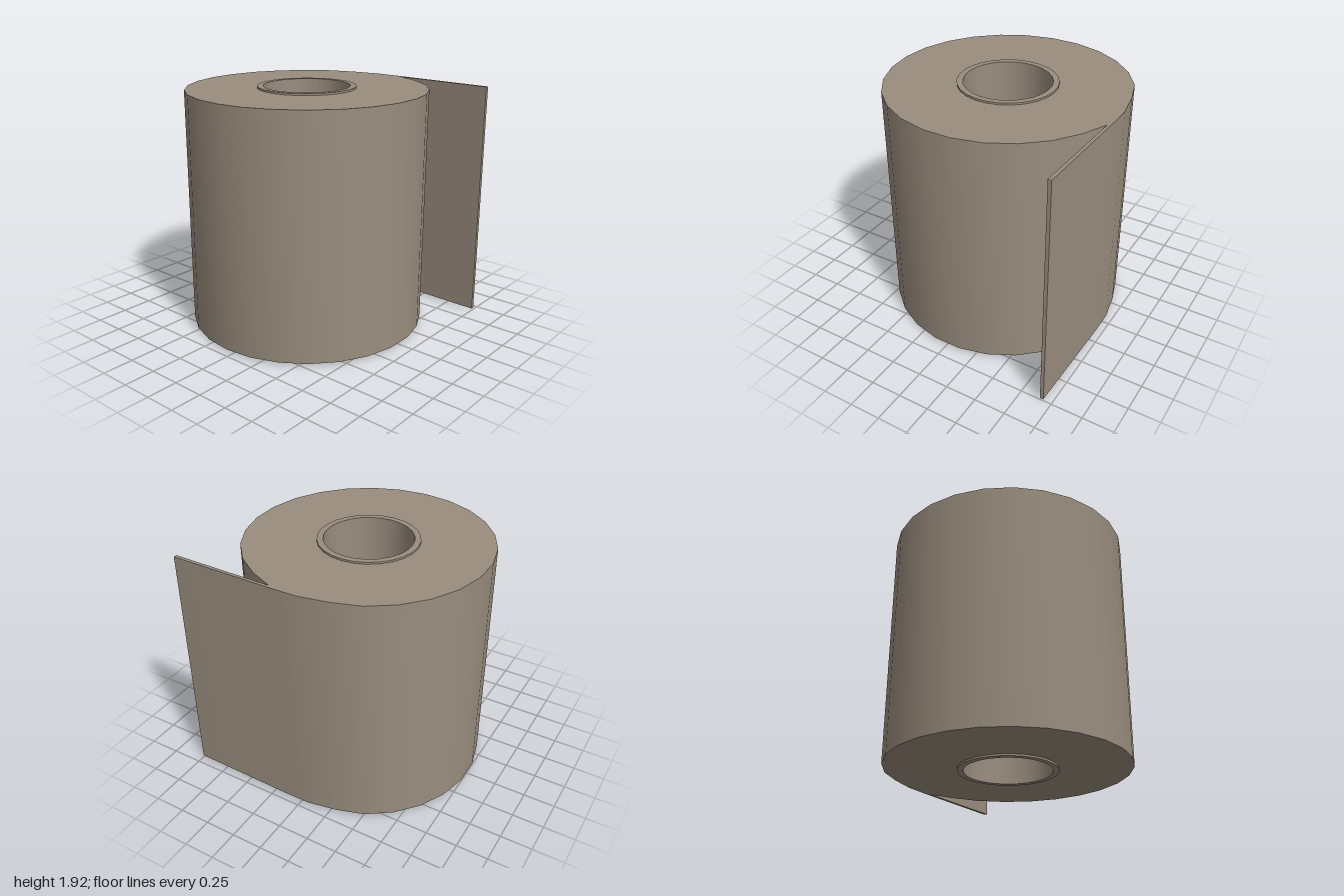
import * as THREE from 'three';
import { toCreasedNormals } from 'three/addons/utils/BufferGeometryUtils.js';

const SIDES = 26;
const CENTER_X = -0.062;

// Points on a circle in plan; index 0 lies at the back (-z), running towards +x
function ring(radius) {
  return Array.from({ length: SIDES }, (_, i) => {
    const a = (i / SIDES) * Math.PI * 2;
    return new THREE.Vector2(CENTER_X + radius * Math.sin(a), radius * Math.cos(a));
  });
}

// Upright prism with a round hole, smooth around and sharp at the rims
function prism(outline, holeRadius, bottom, top) {
  const shape = new THREE.Shape(outline);
  // The hole runs the opposite way to the outline so its wall faces inward
  shape.holes.push(new THREE.Path(ring(holeRadius).reverse()));
  const geo = new THREE.ExtrudeGeometry(shape, { depth: top - bottom, bevelEnabled: false });
  geo.rotateX(-Math.PI / 2);
  geo.translate(0, bottom, 0);
  return toCreasedNormals(geo, 0.6);
}

export function createModel() {
  const group = new THREE.Group();
  group.name = 'paperRoll';

  const paper = new THREE.MeshStandardMaterial({ color: 0x998d7e });
  paper.name = 'warm grey paper';

  // Wound paper, with the loose sheet leaving the back towards +x
  const outline = ring(0.945);
  outline[0].y = 0.948;
  outline[SIDES - 1].y = 0.905;
  const sheet = [[0.14, 0.95], [1, 0.935], [1, 0.907], [0.18, 0.925]]
    .map(([x, y]) => new THREE.Vector2(x, y));
  outline.splice(1, 1, ...sheet);
  const roll = new THREE.Mesh(prism(outline, 0.37, 0.015, 1.905), paper);
  roll.name = 'woundPaperWithLooseSheet';

  // Tube that stands slightly proud at both ends
  const core = new THREE.Mesh(prism(ring(0.387), 0.34, 0, 1.92), paper);
  core.name = 'coreTube';

  group.add(roll, core);
  return group;
}
